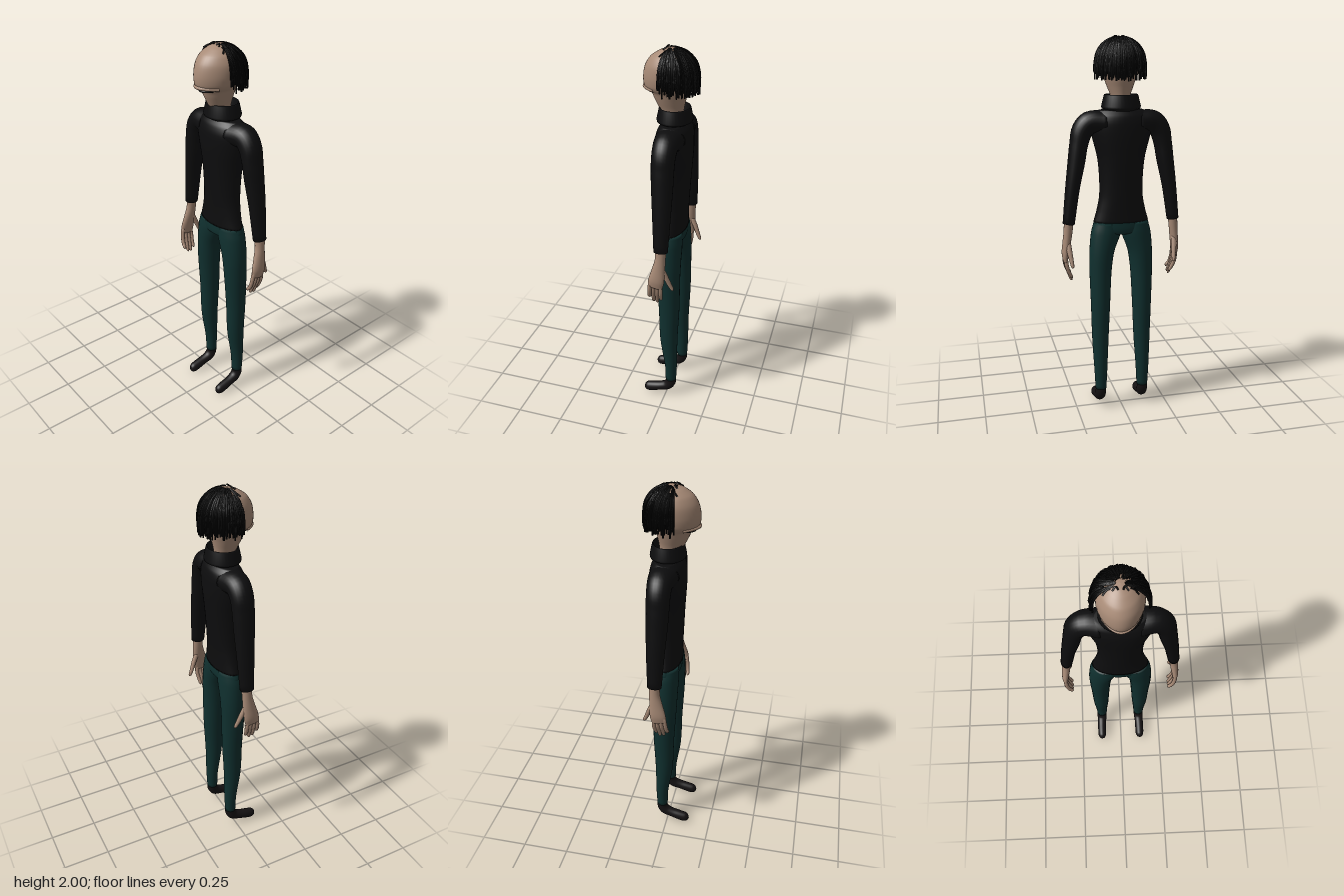
import * as THREE from 'three';
import { mergeGeometries } from 'three/addons/utils/BufferGeometryUtils.js';

const V = (x, y, z) => new THREE.Vector3(x, y, z);
const X = V(1, 0, 0), Z = V(0, 0, 1), UP = V(0, 1, 0), DOWN = V(0, -1, 0);

const mat = (name, color, side = THREE.FrontSide) => {
  const m = new THREE.MeshStandardMaterial({ color, side });
  m.name = name;
  return m;
};

// Smooth skin through elliptical rings [x, y, z, radius along ref, other radius];
// axis fixes the ring plane, otherwise rings follow the path.
function loft(rings, ref, axis, sides = 24, sub = 5) {
  const path = new THREE.CatmullRomCurve3(rings.map(r => V(r[0], r[1], r[2])));
  const size = new THREE.CatmullRomCurve3(rings.map((r, i) => V(r[3], r[4], i * 0.05)));
  const n = (rings.length - 1) * sub, pos = [], idx = [];
  for (let i = 0; i <= n; i++) {
    const c = path.getPoint(i / n), r = size.getPoint(i / n);
    const t = axis || path.getTangent(i / n);
    const u = ref.clone().addScaledVector(t, -ref.dot(t)).normalize();
    const v = t.clone().cross(u);
    for (let j = 0; j < sides; j++) {
      const a = (j / sides) * Math.PI * 2;
      const p = c.clone().addScaledVector(u, r.x * Math.cos(a)).addScaledVector(v, r.y * Math.sin(a));
      pos.push(p.x, p.y, p.z);
    }
  }
  const first = pos.length / 3;
  for (const c of [path.getPoint(0), path.getPoint(1)]) pos.push(c.x, c.y, c.z);
  for (let j = 0; j < sides; j++) {
    const k = (j + 1) % sides;
    for (let i = 0; i < n; i++) {
      const a = i * sides, b = a + sides;
      idx.push(a + j, a + k, b + j, a + k, b + k, b + j);
    }
    idx.push(first, k, j, first + 1, n * sides + j, n * sides + k);
  }
  const g = new THREE.BufferGeometry();
  g.setAttribute('position', new THREE.Float32BufferAttribute(pos, 3));
  g.setIndex(idx);
  g.computeVertexNormals();
  return g;
}

const tube = (pts, r, seg = 8, sides = 6) =>
  new THREE.TubeGeometry(new THREE.CatmullRomCurve3(pts), seg, r, sides);

function seeded(seed) {
  return () => (seed = (seed * 16807) % 2147483647) / 2147483647;
}

export function createModel() {
  const model = new THREE.Group();
  const skin = mat('skin', 0xa78a76);
  const knit = mat('black knit', 0x0d0d0e, THREE.DoubleSide);
  const cloth = mat('dark teal cloth', 0x10302f);
  const leather = mat('dark leather', 0x151213);
  const hairBlack = mat('hair black', 0x080808, THREE.DoubleSide);
  const add = (name, geo, m, parent = model) => {
    const mesh = new THREE.Mesh(geo, m);
    mesh.name = name;
    parent.add(mesh);
    return mesh;
  };

  // Head: [height, half width, front, back]; a domed face overhanging a small jaw
  const head = loft([
    [1.62, 0.045, 0.03, 0.065], [1.67, 0.042, 0.042, 0.06], [1.70, 0.047, 0.06, 0.06],
    [1.75, 0.066, 0.085, 0.07], [1.787, 0.080, 0.102, 0.08], [1.803, 0.090, 0.128, 0.085],
    [1.82, 0.098, 0.137, 0.09], [1.86, 0.105, 0.139, 0.10], [1.91, 0.103, 0.128, 0.105],
    [1.95, 0.085, 0.102, 0.092], [1.977, 0.055, 0.062, 0.062], [1.99, 0.025, 0.03, 0.03],
    [1.993, 0.001, 0.001, 0.001],
  ].map(([y, w, f, b]) => [0, y, (f - b) / 2, w, (f + b) / 2]), X, UP, 40);
  const hp = head.attributes.position;
  for (let i = 0; i < hp.count; i++) {
    const front = Math.max(0, hp.getZ(i) / 0.14);
    hp.setX(i, hp.getX(i) * (1 - 0.18 * front * front));
  }
  head.computeVertexNormals();
  add('head', head, skin);

  // Lip ridge, with the dark mouth line under it
  const arc = (w, d, y, sag) => [-1, -0.7, -0.35, 0, 0.35, 0.7, 1]
    .map(t => V(w * t, y + sag * t * t, d - 0.068 * t * t));
  add('upperLip', tube(arc(0.078, 0.135, 1.807, -0.004), 0.008, 24, 8), skin);
  add('mouth', tube(arc(0.066, 0.113, 1.787, 0.008), 0.006, 24, 8), hairBlack);

  // Hair: strands combed outward from the crown, hanging at the sides and back
  const rand = seeded(77);
  const strands = [];
  for (let i = 0; i < 230; i++) {
    const phi = (((i + rand()) / 230) * 2 - 1) * 1.8;
    const start = 0.15 + 0.95 * rand();
    const lift = 0.008 + 0.012 * rand();
    const side = Math.abs(phi) / 1.8;
    const end = 1.78 + 0.06 * rand() + 0.04 * side * side * rand();
    const pts = [];
    for (let k = 0; k <= 4; k++) {
      const th = start + (1.5 - start) * (k / 4);
      pts.push(V((0.108 + lift) * Math.sin(th) * Math.sin(phi),
        1.87 + 0.125 * Math.cos(th),
        0.005 - (0.118 + lift) * Math.sin(th) * Math.cos(phi)));
    }
    const last = pts[4];
    pts.push(V(last.x * 1.03, (last.y + end) / 2, last.z * 1.02), V(last.x * 1.03, end, last.z * 1.01));
    strands.push(tube(pts, 0.0042, 10, 5));
  }
  // Loose curls at the front of the crown
  for (const s of [-1, 1]) {
    strands.push(tube([V(s * 0.01, 1.99, 0.03), V(s * 0.018, 1.998, 0.018), V(s * 0.033, 1.988, 0.033)], 0.004, 8, 5));
    strands.push(tube([V(s * 0.04, 1.985, 0.02), V(s * 0.055, 1.979, 0.024), V(s * 0.073, 1.965, 0.04)], 0.004, 8, 5));
  }
  add('hair', mergeGeometries(strands), hairBlack);

  // Sweater body
  add('sweaterBody', loft([
    [0, 1.062, -0.012, 0.147, 0.070], [0, 1.12, -0.013, 0.130, 0.071], [0, 1.20, -0.014, 0.115, 0.074],
    [0, 1.30, -0.015, 0.115, 0.079], [0, 1.40, -0.016, 0.125, 0.085], [0, 1.50, -0.016, 0.150, 0.090],
    [0, 1.57, -0.016, 0.165, 0.088], [0, 1.61, -0.017, 0.150, 0.078], [0, 1.638, -0.017, 0.115, 0.058],
  ], X, UP, 36), knit);

  // Open folded collar
  const collar = add('collar', new THREE.LatheGeometry([
    [0.070, 1.63], [0.099, 1.645], [0.101, 1.655], [0.088, 1.708], [0.085, 1.714], [0.080, 1.71], [0.072, 1.65],
  ].map(p => new THREE.Vector2(...p)), 36), knit);
  collar.scale.z = 0.88;
  collar.position.z = -0.016;

  // Trouser hips
  add('hips', loft([
    [0, 0.995, -0.012, 0.09, 0.045], [0, 1.005, -0.012, 0.135, 0.062],
    [0, 1.03, -0.012, 0.152, 0.067], [0, 1.072, -0.012, 0.142, 0.067],
  ], X, UP, 36), cloth);

  for (const s of [1, -1]) {
    const side = s > 0 ? 'left' : 'right';
    const m = rings => rings.map(([x, ...r]) => [x * s, ...r]);

    // Sleeve, from inside the shoulder down to the cuff
    const arm = new THREE.Group();
    arm.name = side + 'Arm';
    model.add(arm);
    add('sleeve', loft(m([
      [0.09, 1.575, -0.018, 0.075, 0.060], [0.165, 1.574, -0.020, 0.062, 0.058],
      [0.202, 1.535, -0.020, 0.058, 0.054], [0.220, 1.47, -0.020, 0.056, 0.047],
      [0.234, 1.38, -0.022, 0.053, 0.044], [0.256, 1.25, -0.025, 0.046, 0.037],
      [0.280, 1.062, -0.027, 0.036, 0.031],
    ]), Z), knit, arm);

    // Hand: palm, four fingers and a thumb set to the back
    add('palm', loft(m([
      [0.279, 1.08, -0.027, 0.028, 0.025], [0.284, 1.02, -0.026, 0.027, 0.023],
      [0.291, 0.96, -0.018, 0.034, 0.021], [0.298, 0.90, -0.008, 0.041, 0.018],
      [0.298, 0.86, -0.001, 0.038, 0.012],
    ]), Z), skin, arm);
    [0.030, 0.009, -0.011, -0.030].forEach((z, i) => {
      const tip = [0.775, 0.752, 0.748, 0.765][i];
      add('finger', loft(m([
        [0.298, 0.89, z * 0.8, 0.010, 0.011], [0.295, 0.84, z, 0.0105, 0.011],
        [0.283, 0.80, z + 0.004, 0.010, 0.010], [0.268, tip + 0.008, z + 0.007, 0.008, 0.008],
        [0.264, tip, z + 0.007, 0.001, 0.001],
      ]), Z, null, 10, 3), skin, arm);
    });
    add('thumb', loft(m([
      [0.286, 0.97, -0.030, 0.014, 0.014], [0.282, 0.92, -0.053, 0.014, 0.013],
      [0.275, 0.87, -0.073, 0.011, 0.011], [0.272, 0.845, -0.085, 0.008, 0.008],
      [0.272, 0.838, -0.089, 0.001, 0.001],
    ]), X, null, 10, 3), skin, arm);

    // Trouser leg
    const leg = new THREE.Group();
    leg.name = side + 'Leg';
    model.add(leg);
    add('trouserLeg', loft(m([
      [0.074, 1.06, -0.012, 0.069, 0.062], [0.081, 1.0, -0.012, 0.079, 0.067],
      [0.103, 0.90, -0.013, 0.066, 0.066], [0.111, 0.80, -0.014, 0.059, 0.063],
      [0.114, 0.60, -0.019, 0.051, 0.056], [0.116, 0.40, -0.018, 0.044, 0.048],
      [0.117, 0.22, -0.030, 0.035, 0.034], [0.117, 0.12, -0.030, 0.030, 0.030],
    ]), X, DOWN), cloth, leg);

    // Shoe, toes pointing slightly down
    add('shoe', loft(m([
      [0.117, 0.135, -0.030, 0.029, 0.029], [0.118, 0.098, -0.030, 0.029, 0.029],
      [0.119, 0.070, -0.012, 0.029, 0.029], [0.121, 0.055, 0.025, 0.026, 0.026],
      [0.122, 0.042, 0.070, 0.026, 0.028], [0.122, 0.033, 0.105, 0.024, 0.028],
      [0.122, 0.031, 0.122, 0.015, 0.018], [0.122, 0.031, 0.129, 0.001, 0.001],
    ]), X), leather, leg);
  }
  return model;
}
